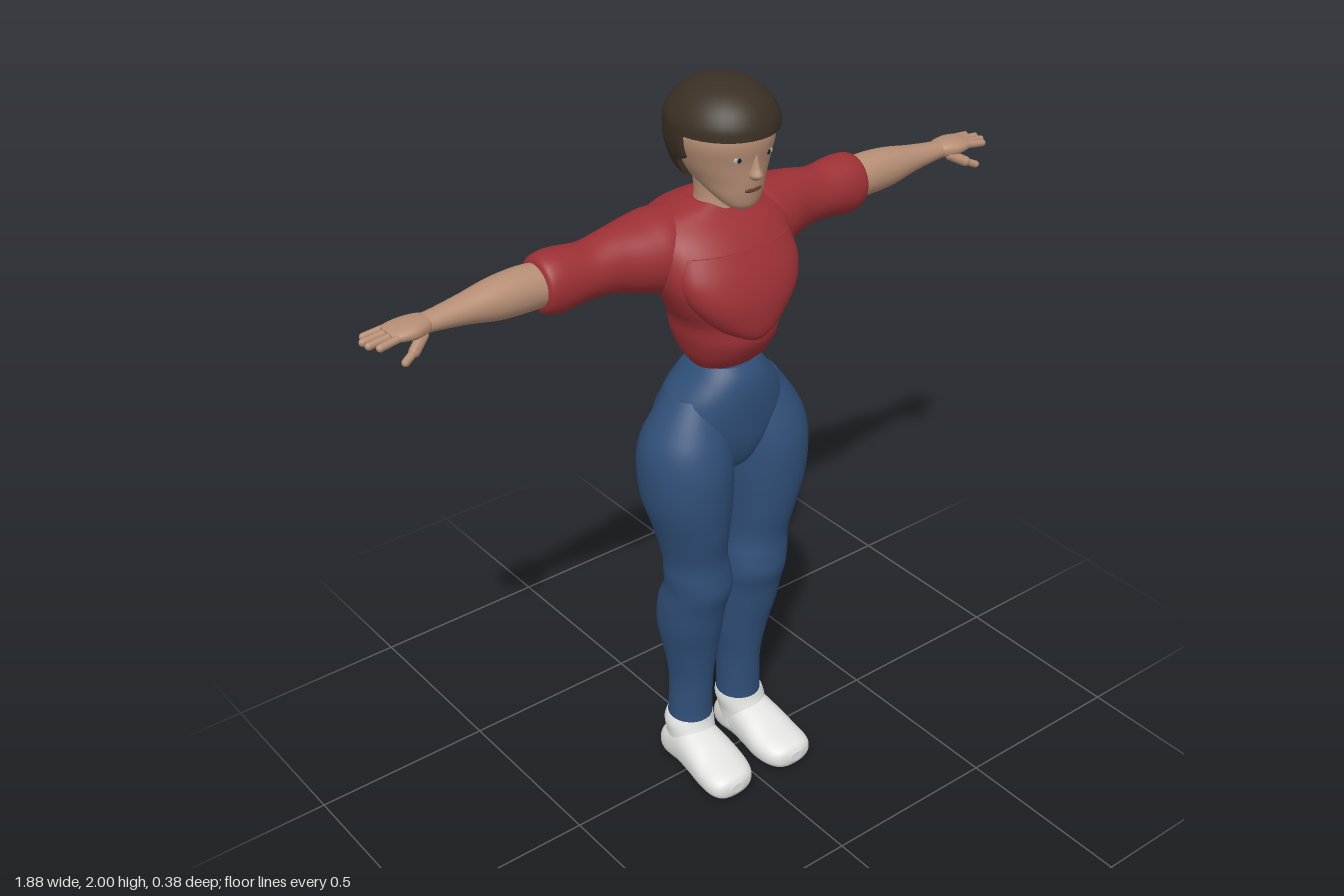
import * as THREE from 'three';

const mat = (name, color) => {
  const m = new THREE.MeshStandardMaterial({ color });
  m.name = name;
  return m;
};

// Smooth Catmull-Rom blend through rows of numbers
function blendRows(rows, steps) {
  const out = [];
  const row = i => rows[Math.max(0, Math.min(rows.length - 1, i))];
  for (let i = 0; i < rows.length - 1; i++) {
    for (let s = 0; s < steps; s++) {
      const t = s / steps;
      out.push(row(i).map((p1, k) => {
        const p0 = row(i - 1)[k], p2 = row(i + 1)[k], p3 = row(i + 2)[k];
        return 0.5 * (2 * p1 + (p2 - p0) * t + (2 * p0 - 5 * p1 + 4 * p2 - p3) * t * t
          + (3 * p1 - p0 - 3 * p2 + p3) * t * t * t);
      }));
    }
  }
  out.push(rows[rows.length - 1]);
  return out;
}

// Rounded cross-sections lofted along an axis. Each row is [along, aMin, aMax, bMin, bMax]:
// axis y uses a = x, b = z; axis x uses a = z, b = y; axis z uses a = y, b = x.
function loft(axis, rows, { power = 1, steps = 5, sides = 36, adjust } = {}) {
  const place = { y: (u, a, b) => [a, u, b], x: (u, a, b) => [u, b, a], z: (u, a, b) => [b, a, u] }[axis];
  const soft = v => Math.sign(v) * Math.pow(Math.abs(v), power);
  const body = blendRows(rows, steps);
  const flat = r => [r[0], (r[1] + r[2]) / 2, (r[1] + r[2]) / 2, (r[3] + r[4]) / 2, (r[3] + r[4]) / 2];
  const first = body[0], last = body[body.length - 1];
  const rings = [flat(first), first, ...body, last, flat(last)];
  const pos = [], index = [];
  for (const [u, a0, a1, b0, b1] of rings) {
    for (let j = 0; j < sides; j++) {
      const t = j / sides * Math.PI * 2;
      const p = place(u, (a0 + a1) / 2 + (a1 - a0) / 2 * soft(Math.cos(t)),
        (b0 + b1) / 2 + (b1 - b0) / 2 * soft(Math.sin(t)));
      if (adjust) adjust(p);
      pos.push(...p);
    }
  }
  for (let i = 0; i < rings.length - 1; i++) {
    if (i === 1 || i === rings.length - 3) continue; // keeps the cap edges sharp
    for (let j = 0; j < sides; j++) {
      const k = (j + 1) % sides;
      const a = i * sides + j, b = a + sides, c = i * sides + k, d = c + sides;
      index.push(a, b, c, b, d, c);
    }
  }
  const g = new THREE.BufferGeometry();
  g.setAttribute('position', new THREE.Float32BufferAttribute(pos, 3));
  g.setIndex(index);
  g.computeVertexNormals();
  return g;
}

function mirrored(geometry) {
  const g = geometry.clone().scale(-1, 1, 1);
  const ix = g.index.array;
  for (let i = 0; i < ix.length; i += 3) [ix[i], ix[i + 1]] = [ix[i + 1], ix[i]];
  g.computeVertexNormals();
  return g;
}

const ball = (x, y, z, rx, ry, rz) => new THREE.SphereGeometry(1, 20, 14).scale(rx, ry, rz).translate(x, y, z);

// Rounded finger between two points
function finger(from, to, r) {
  const a = new THREE.Vector3(...from), b = new THREE.Vector3(...to);
  const dir = b.clone().sub(a);
  const g = new THREE.CapsuleGeometry(r, dir.length(), 5, 10);
  g.applyQuaternion(new THREE.Quaternion().setFromUnitVectors(new THREE.Vector3(0, 1, 0), dir.clone().normalize()));
  return g.translate(...a.add(b).multiplyScalar(0.5).toArray());
}

export function createModel() {
  const model = new THREE.Group();
  const skin = mat('skin', 0xb58d74), hair = mat('dark brown hair', 0x3a3024), red = mat('red shirt', 0x9c3035);
  const denim = mat('blue trousers', 0x304f78), white = mat('white shoes', 0xe2e2e0);
  const dark = mat('dark pupil', 0x1c1a1a), eyeGrey = mat('pale eye', 0xa9b2b8), lip = mat('lips', 0x6e4038);

  const add = (name, geometry, material) => {
    const mesh = new THREE.Mesh(geometry, material);
    mesh.name = name;
    model.add(mesh);
  };
  const pair = (name, geometry, material) => {
    add(name + 'Left', geometry, material);
    add(name + 'Right', mirrored(geometry), material);
  };
  // Row symmetric about x = 0
  const sym = (y, w, z0, z1) => [y, -w, w, z0, z1];

  // Head, neck and hair
  add('head', loft('y', [
    sym(1.698, 0.015, 0.05, 0.08), sym(1.712, 0.042, 0.025, 0.098), sym(1.74, 0.066, -0.03, 0.106),
    sym(1.775, 0.086, -0.1, 0.111), sym(1.82, 0.108, -0.13, 0.114), sym(1.88, 0.122, -0.14, 0.122),
    sym(1.95, 0.1, -0.12, 0.1)]), skin);
  add('neck', loft('y', [sym(1.65, 0.07, -0.12, 0.025), sym(1.69, 0.055, -0.09, 0.015),
    sym(1.73, 0.053, -0.088, 0.012), sym(1.79, 0.06, -0.1, 0.02)]), skin);
  add('hairCap', loft('y', [
    sym(1.89, 0.133, -0.16, 0.137), sym(1.92, 0.13, -0.156, 0.132), sym(1.955, 0.109, -0.132, 0.11),
    sym(1.982, 0.076, -0.095, 0.073), sym(1.996, 0.036, -0.05, 0.03), sym(2, 0.002, -0.012, -0.008)]), hair);
  add('hairBack', loft('y', [
    sym(1.77, 0.09, -0.125, 0.08), sym(1.79, 0.107, -0.143, 0.1), sym(1.83, 0.124, -0.155, 0.12),
    sym(1.86, 0.131, -0.16, 0.132), sym(1.895, 0.133, -0.16, 0.137)],
  { adjust: p => { p[2] = Math.min(p[2], p[1] > 1.828 ? 0 : -0.03); } }), hair);

  // Face
  add('nose', loft('y', [sym(1.783, 0.006, 0.1, 0.12), sym(1.795, 0.017, 0.09, 0.135),
    sym(1.815, 0.011, 0.09, 0.127), sym(1.85, 0.006, 0.09, 0.118)], { sides: 16 }), skin);
  add('mouth', ball(0, 1.757, 0.106, 0.025, 0.007, 0.004), lip);
  pair('eye', ball(0.043, 1.84, 0.105, 0.015, 0.009, 0.004), eyeGrey);
  pair('pupil', ball(0.043, 1.84, 0.108, 0.006, 0.007, 0.003), dark);

  // Shirt
  add('shirtBody', loft('y', [
    sym(1.275, 0.088, -0.075, 0.065), sym(1.31, 0.11, -0.115, 0.1), sym(1.36, 0.126, -0.142, 0.128),
    sym(1.41, 0.136, -0.142, 0.13), sym(1.46, 0.162, -0.138, 0.138), sym(1.52, 0.188, -0.15, 0.135),
    sym(1.58, 0.198, -0.175, 0.108), sym(1.63, 0.192, -0.185, 0.07), sym(1.67, 0.15, -0.165, 0.025),
    sym(1.695, 0.065, -0.11, 0.005)], { power: 0.9 }), red);
  add('shirtChest', loft('y', [
    sym(1.365, 0.02, 0, 0.12), sym(1.385, 0.06, 0, 0.142), sym(1.42, 0.105, 0, 0.15), sym(1.48, 0.155, -0.02, 0.149),
    sym(1.54, 0.175, -0.04, 0.13), sym(1.6, 0.165, -0.06, 0.098)], { power: 0.9 }), red);
  pair('sleeve', loft('x', [
    [0.07, -0.15, 0, 1.5, 1.685], [0.15, -0.182, 0.03, 1.475, 1.686], [0.21, -0.178, 0.02, 1.488, 1.677],
    [0.28, -0.156, -0.004, 1.508, 1.668], [0.35, -0.153, -0.012, 1.515, 1.654], [0.41, -0.158, -0.012, 1.508, 1.66],
    [0.45, -0.158, -0.012, 1.505, 1.662], [0.48, -0.152, -0.018, 1.515, 1.655], [0.49, -0.135, -0.035, 1.53, 1.64]]), red);

  // Bare forearms and hands
  pair('forearm', loft('x', [
    [0.44, -0.137, -0.03, 1.535, 1.635], [0.52, -0.14, -0.03, 1.533, 1.643], [0.6, -0.135, -0.034, 1.537, 1.639],
    [0.68, -0.122, -0.044, 1.553, 1.625], [0.75, -0.112, -0.05, 1.563, 1.615], [0.79, -0.11, -0.052, 1.567, 1.61]]), skin);
  pair('palm', loft('x', [
    [0.77, -0.1, -0.06, 1.575, 1.605], [0.79, -0.115, -0.047, 1.568, 1.611], [0.825, -0.122, -0.035, 1.57, 1.612],
    [0.86, -0.123, -0.04, 1.574, 1.607], [0.88, -0.117, -0.048, 1.579, 1.6]], { power: 0.85 }), skin);
  [0.918, 0.932, 0.93, 0.915].forEach((tip, i) => {
    const z = -0.112 + i * 0.02;
    pair('finger' + (i + 1), finger([0.85, 1.592, z], [tip, 1.584, z - 0.004 + i * 0.003], 0.0095), skin);
  });
  pair('thumbBase', finger([0.805, 1.575, -0.055], [0.84, 1.556, -0.034], 0.014), skin);
  pair('thumb', finger([0.84, 1.556, -0.034], [0.87, 1.543, -0.023], 0.0095), skin);

  // Trousers
  add('trouserHips', loft('y', [
    sym(0.965, 0.02, -0.07, 0.04), sym(1.0, 0.07, -0.11, 0.075), sym(1.06, 0.14, -0.142, 0.097),
    sym(1.12, 0.175, -0.148, 0.104), sym(1.19, 0.155, -0.138, 0.107), sym(1.245, 0.112, -0.115, 0.1),
    sym(1.28, 0.085, -0.09, 0.08)], { power: 0.92 }), denim);
  pair('buttock', ball(0.075, 1.085, -0.06, 0.09, 0.12, 0.092), denim);
  pair('trouserLeg', loft('y', [
    [0.155, 0.024, 0.146, -0.112, 0.016], [0.2, 0.025, 0.143, -0.11, 0.016], [0.3, 0.023, 0.142, -0.112, 0.022],
    [0.4, 0.01, 0.16, -0.124, 0.038], [0.48, 0.006, 0.177, -0.131, 0.058], [0.56, 0.003, 0.183, -0.118, 0.076],
    [0.62, 0.001, 0.181, -0.092, 0.095], [0.67, 0.006, 0.186, -0.084, 0.094], [0.73, 0.018, 0.188, -0.087, 0.092],
    [0.82, 0.015, 0.21, -0.108, 0.11], [0.91, 0.006, 0.237, -0.13, 0.122], [1.0, 0.001, 0.244, -0.138, 0.124],
    [1.07, 0.002, 0.235, -0.13, 0.112], [1.13, 0.01, 0.205, -0.11, 0.09], [1.2, 0.03, 0.155, -0.08, 0.06]]), denim);

  // Shoes
  pair('shoeAnkle', loft('y', [
    [0.05, 0.03, 0.158, -0.117, 0.05], [0.1, 0.028, 0.156, -0.112, 0.04],
    [0.14, 0.02, 0.158, -0.116, 0.022], [0.162, 0.022, 0.15, -0.112, 0.016]]), white);
  pair('shoeFoot', loft('z', [
    [-0.12, 0.03, 0.06, 0.08, 0.11], [-0.112, 0.01, 0.09, 0.05, 0.14], [-0.08, 0, 0.12, 0.033, 0.157],
    [-0.02, 0.003, 0.142, 0.03, 0.162], [0.04, 0.003, 0.128, 0.025, 0.168], [0.1, 0.002, 0.103, 0.021, 0.174],
    [0.15, 0.005, 0.088, 0.03, 0.173], [0.178, 0.013, 0.077, 0.05, 0.158], [0.19, 0.032, 0.06, 0.085, 0.125]],
  { power: 0.85 }), white);

  return model;
}
